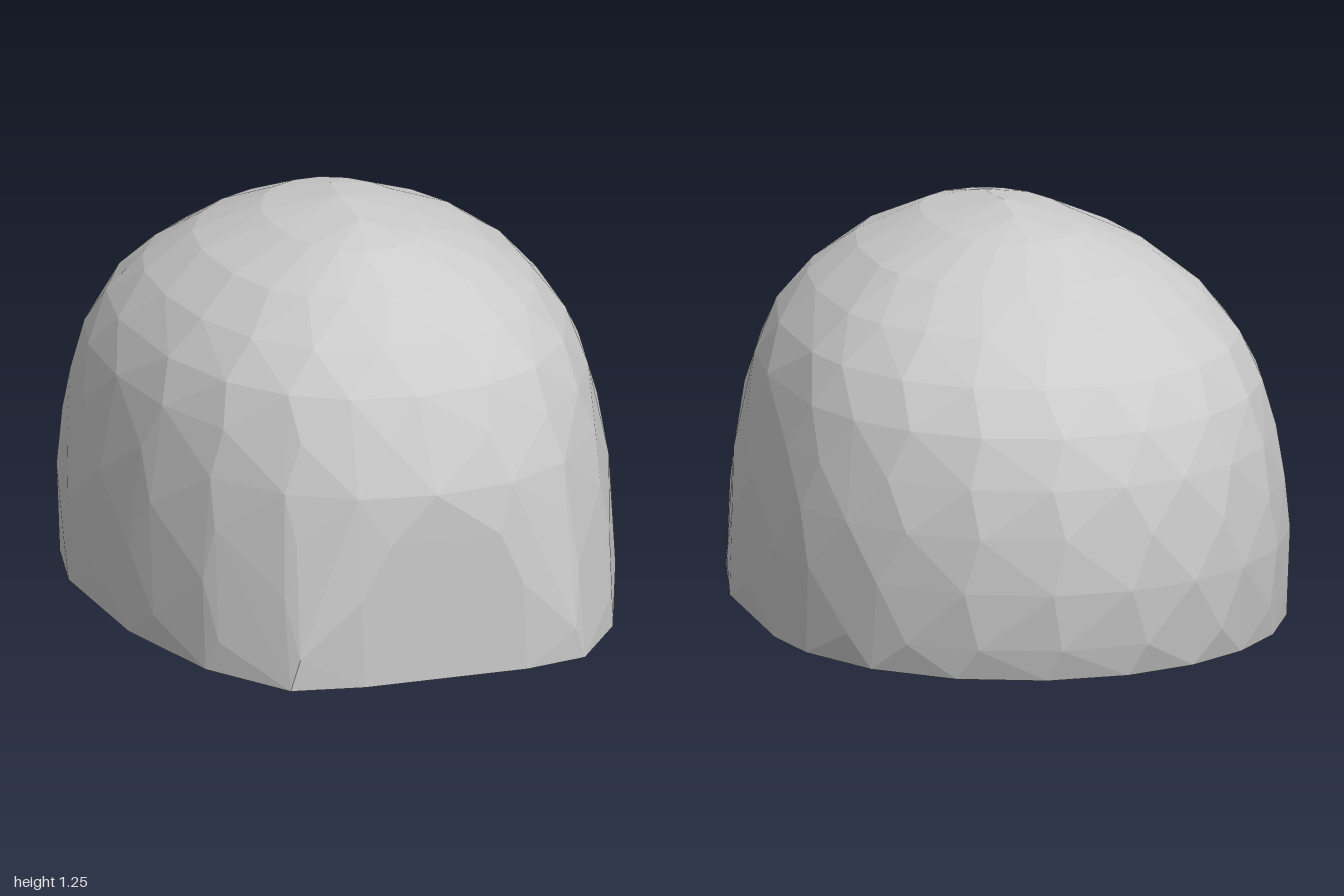
import * as THREE from 'three';
import { ConvexGeometry } from 'three/addons/geometries/ConvexGeometry.js';

// Horizontal cross-sections: height, back z, front z, half width.
// A front beyond FRONT_FACE is cut off there, leaving a flat with sharp corners.
const RINGS = [
  [0, -0.95, 1.14, 0.81],
  [0.1, -0.98, 1.12, 0.81],
  [0.28, -1.0, 1.07, 0.815],
  [0.45, -0.99, 1.03, 0.8],
  [0.6, -0.96, 1.0, 0.775],
  [0.75, -0.9, 0.935, 0.74],
  [0.88, -0.8, 0.87, 0.68],
  [1.0, -0.64, 0.76, 0.58],
  [1.11, -0.46, 0.62, 0.435],
  [1.2, -0.25, 0.43, 0.23],
];
const FRONT_FACE = 1;
const WIDEST_Z = -0.15;
const SIDES = 20;

// One staggered ring: elliptical at the back, squarer at the front
function ringPoints([y, back, front, half], level) {
  const points = [];
  const rise = (y / 1.25) ** 3;
  const centre = THREE.MathUtils.lerp(WIDEST_Z, 0.07, rise);
  for (let i = 0; i < SIDES; i++) {
    // Slightly uneven spacing gives irregular facets
    const uneven = 0.2 * Math.sin(i * 7 + level * 3);
    const a = ((i + (level % 2 ? 0.5 : 0) + uneven) / SIDES) * Math.PI * 2;
    const c = Math.cos(a), s = Math.sin(a);
    const e = 2 / (s > 0 ? 2.3 : 2);
    const x = Math.sign(c) * Math.abs(c) ** e * half - 0.02 * rise;
    const reach = s > 0 ? front - centre : centre - back;
    const z = centre + Math.sign(s) * Math.abs(s) ** e * reach;
    points.push(new THREE.Vector3(x, y, Math.min(z, FRONT_FACE)));
  }
  return points;
}

export function createModel() {
  const group = new THREE.Group();
  group.name = 'facetedDome';

  // Rounded shell with a flat underside, closed by a few crown points
  const points = RINGS.flatMap(ringPoints);
  for (const [x, y, z] of [[-0.02, 1.255, 0.07], [0, 1.24, -0.08], [-0.02, 1.24, 0.26]]) {
    points.push(new THREE.Vector3(x, y, z));
  }
  const shell = new THREE.Mesh(
    new ConvexGeometry(points),
    new THREE.MeshStandardMaterial({ color: 0xcccccc, flatShading: true })
  );
  shell.name = 'domeShell';
  group.add(shell);
  return group;
}
